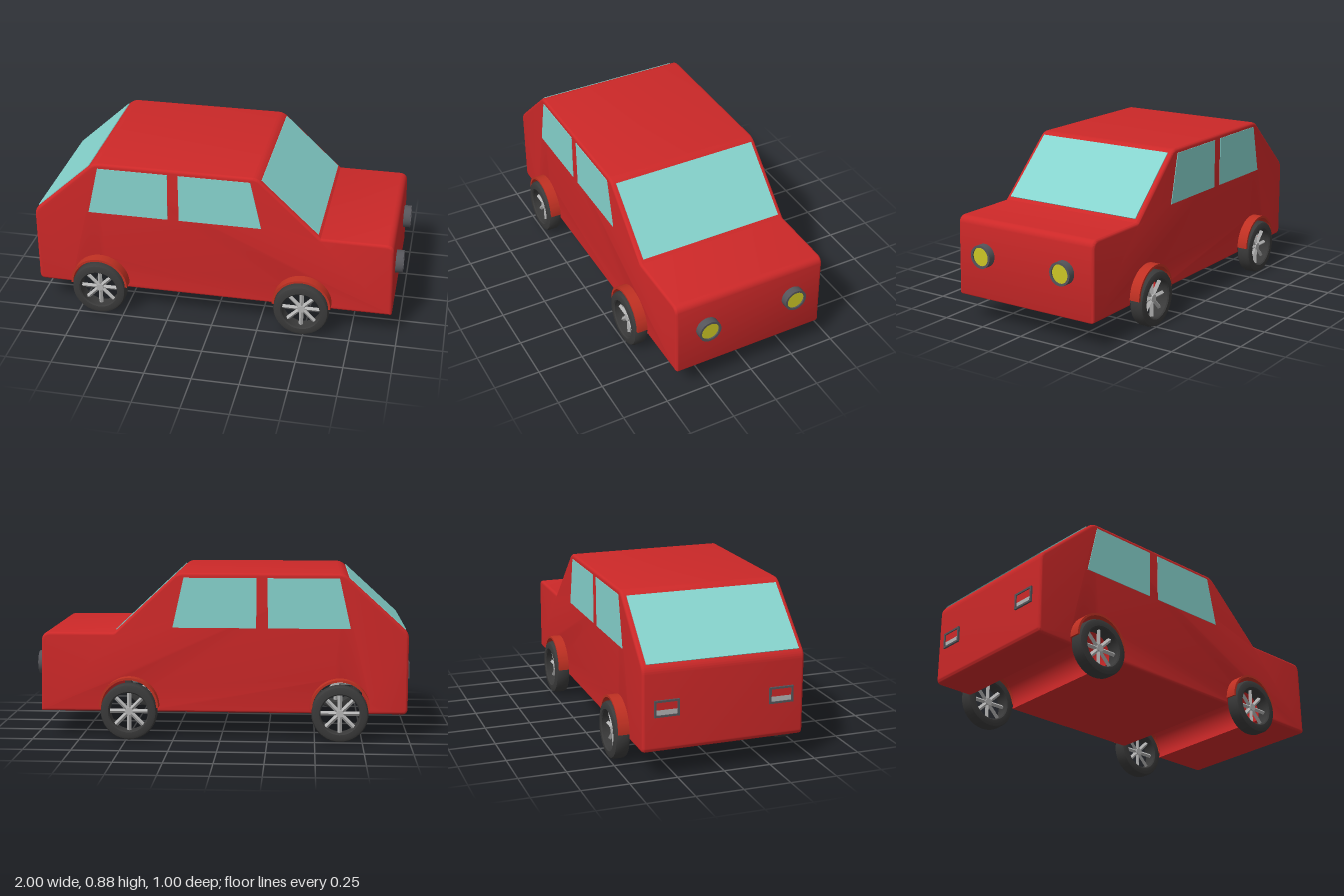
import * as THREE from 'three';
import { toCreasedNormals } from 'three/addons/utils/BufferGeometryUtils.js';

const mat = (color) => new THREE.MeshStandardMaterial({ color });
const paint = mat(0xcc2828), fenderPaint = mat(0xbf3022), glass = mat(0x86d3cd);
const rubber = mat(0x3a3a3a), metal = mat(0xb4b4b4), trim = mat(0x55555a), lamp = mat(0xcbc425);

const WHEELS_X = [-0.632, 0.485];
const WELL_Y = 0.172, WELL_R = 0.146;

function add(parent, name, geometry, material, x = 0, y = 0, z = 0) {
  const mesh = new THREE.Mesh(geometry, material);
  mesh.name = name;
  mesh.position.set(x, y, z);
  parent.add(mesh);
  return mesh;
}

// Side outline with rounded corners and wheel channels cut into the floor
function bodyGeometry() {
  const corners = [
    [0.965, 0.14, 0.01], [0.955, 0.565, 0.045], [0.57, 0.565, 0.005], [0.23, 0.885, 0.03],
    [-0.65, 0.885, 0.03], [-0.99, 0.575, 0.03], [-0.99, 0.14, 0.03],
  ].map(([x, y, r]) => ({ p: new THREE.Vector2(x, y), r }));
  const shape = new THREE.Shape();
  const n = corners.length;
  corners.forEach(({ p, r }, i) => {
    const toward = (q) => q.clone().sub(p).setLength(r).add(p);
    const a = toward(corners[(i + n - 1) % n].p), b = toward(corners[(i + 1) % n].p);
    if (i === 0) shape.moveTo(a.x, a.y); else shape.lineTo(a.x, a.y);
    shape.quadraticCurveTo(p.x, p.y, b.x, b.y);
  });
  const dip = Math.asin((WELL_Y - 0.14) / WELL_R);
  for (const x of WHEELS_X) {
    shape.lineTo(x - WELL_R * Math.cos(dip), 0.14);
    shape.absarc(x, WELL_Y, WELL_R, Math.PI + dip, -dip, true);
  }
  shape.closePath();
  const bevel = 0.015;
  const geo = new THREE.ExtrudeGeometry(shape, {
    depth: 0.86 - 2 * bevel, bevelEnabled: true, bevelThickness: bevel,
    bevelSize: bevel, bevelOffset: -bevel, bevelSegments: 4, curveSegments: 10,
  });
  geo.translate(0, 0, -0.43 + bevel);
  return toCreasedNormals(geo, 0.6);
}

// Half-ring arch, starting at the body side
function fenderGeometry() {
  const s = new THREE.Shape();
  s.absarc(0, 0, 0.158, 0, Math.PI, false);
  s.absarc(0, 0, WELL_R, Math.PI, 0, true);
  s.closePath();
  return toCreasedNormals(new THREE.ExtrudeGeometry(s, {
    depth: 0.065, bevelEnabled: false, curveSegments: 24,
  }), 0.6);
}

// Wheel around the z axis: tyre, spokes and hub
function makeWheel() {
  const wheel = new THREE.Group();
  const tyre = [
    [0.103, -0.034], [0.109, -0.04], [0.132, -0.04], [0.144, -0.035], [0.15, -0.022],
    [0.15, 0.022], [0.144, 0.035], [0.132, 0.04], [0.109, 0.04], [0.103, 0.034], [0.103, -0.034],
  ].map(([r, y]) => new THREE.Vector2(r, y));
  const tyreGeo = toCreasedNormals(new THREE.LatheGeometry(tyre, 40), 0.7);
  add(wheel, 'tyre', tyreGeo.rotateX(Math.PI / 2), rubber);
  const spokeGeo = new THREE.CylinderGeometry(0.012, 0.012, 0.104, 4).toNonIndexed();
  spokeGeo.computeVertexNormals();
  spokeGeo.translate(0, 0.052, 0);
  for (let i = 0; i < 8; i++) {
    add(wheel, 'spoke', spokeGeo, metal).rotation.z = (i * Math.PI) / 4;
  }
  add(wheel, 'hub', new THREE.CylinderGeometry(0.02, 0.02, 0.032, 16).rotateX(Math.PI / 2), metal);
  return wheel;
}

// Thin sloping pane between two points of the side outline
function addSlopedPane(parent, name, [x0, y0], [x1, y1], width) {
  const pane = add(parent, name,
    new THREE.BoxGeometry(Math.hypot(x1 - x0, y1 - y0), 0.008, width), glass,
    (x0 + x1) / 2, (y0 + y1) / 2);
  pane.rotation.z = Math.atan2(y1 - y0, x1 - x0);
}

export function createModel() {
  const car = new THREE.Group();
  car.name = 'car';
  add(car, 'body', bodyGeometry(), paint);

  // Front and rear glass
  addSlopedPane(car, 'windshield', [0.25, 0.867], [0.555, 0.58], 0.81);
  addSlopedPane(car, 'rearWindow', [-0.972, 0.592], [-0.676, 0.862], 0.81);

  // Side windows
  const panes = [
    ['rearSideWindow', [[-0.685, 0.595], [-0.25, 0.595], [-0.247, 0.86], [-0.625, 0.86]]],
    ['frontSideWindow', [[-0.188, 0.595], [0.255, 0.595], [0.195, 0.86], [-0.19, 0.86]]],
  ];
  for (const [name, pts] of panes) {
    const shape = new THREE.Shape(pts.map(([x, y]) => new THREE.Vector2(x, y)));
    const geo = new THREE.ExtrudeGeometry(shape, { depth: 0.006, bevelEnabled: false });
    for (const side of [1, -1]) add(car, name, geo, glass, 0, 0, side * 0.43 - 0.003);
  }

  // Wheels and arches
  const fenderGeo = fenderGeometry();
  for (const x of WHEELS_X) {
    for (const side of [1, -1]) {
      const wheel = makeWheel();
      wheel.name = (x > 0 ? 'front' : 'rear') + 'Wheel';
      wheel.position.set(x, 0.15, side * 0.46);
      car.add(wheel);
      add(car, 'fender', fenderGeo, fenderPaint, x, WELL_Y + 0.002, side > 0 ? 0.422 : -0.487);
    }
  }

  // Round headlights: rim with a slightly recessed lens
  const rim = [[0.05, -0.02], [0.062, -0.02], [0.062, 0.02], [0.05, 0.02], [0.05, -0.02]]
    .map(([r, y]) => new THREE.Vector2(r, y));
  const rimGeo = toCreasedNormals(new THREE.LatheGeometry(rim, 36), 0.6).rotateZ(-Math.PI / 2);
  const lensGeo = new THREE.CylinderGeometry(0.051, 0.051, 0.03, 36).rotateZ(-Math.PI / 2);
  // Rectangular tail lights: frame with red and clear bands
  const frame = new THREE.Shape();
  frame.moveTo(-0.065, -0.043).lineTo(0.065, -0.043).lineTo(0.065, 0.043).lineTo(-0.065, 0.043);
  const opening = new THREE.Path();
  opening.moveTo(-0.055, -0.033).lineTo(-0.055, 0.033).lineTo(0.055, 0.033).lineTo(0.055, -0.033);
  frame.holes.push(opening);
  const frameGeo = new THREE.ExtrudeGeometry(frame, { depth: 0.02, bevelEnabled: false });
  frameGeo.rotateY(-Math.PI / 2);
  for (const side of [1, -1]) {
    add(car, 'headlightRim', rimGeo, trim, 0.98, 0.378, side * 0.253);
    add(car, 'headlightLens', lensGeo, lamp, 0.977, 0.378, side * 0.253);
    add(car, 'tailLightFrame', frameGeo, trim, -0.98, 0.368, side * 0.305);
    add(car, 'tailLightRed', new THREE.BoxGeometry(0.014, 0.04, 0.11), paint, -0.987, 0.381, side * 0.305);
    add(car, 'tailLightClear', new THREE.BoxGeometry(0.014, 0.026, 0.11), metal, -0.987, 0.348, side * 0.305);
  }
  return car;
}
